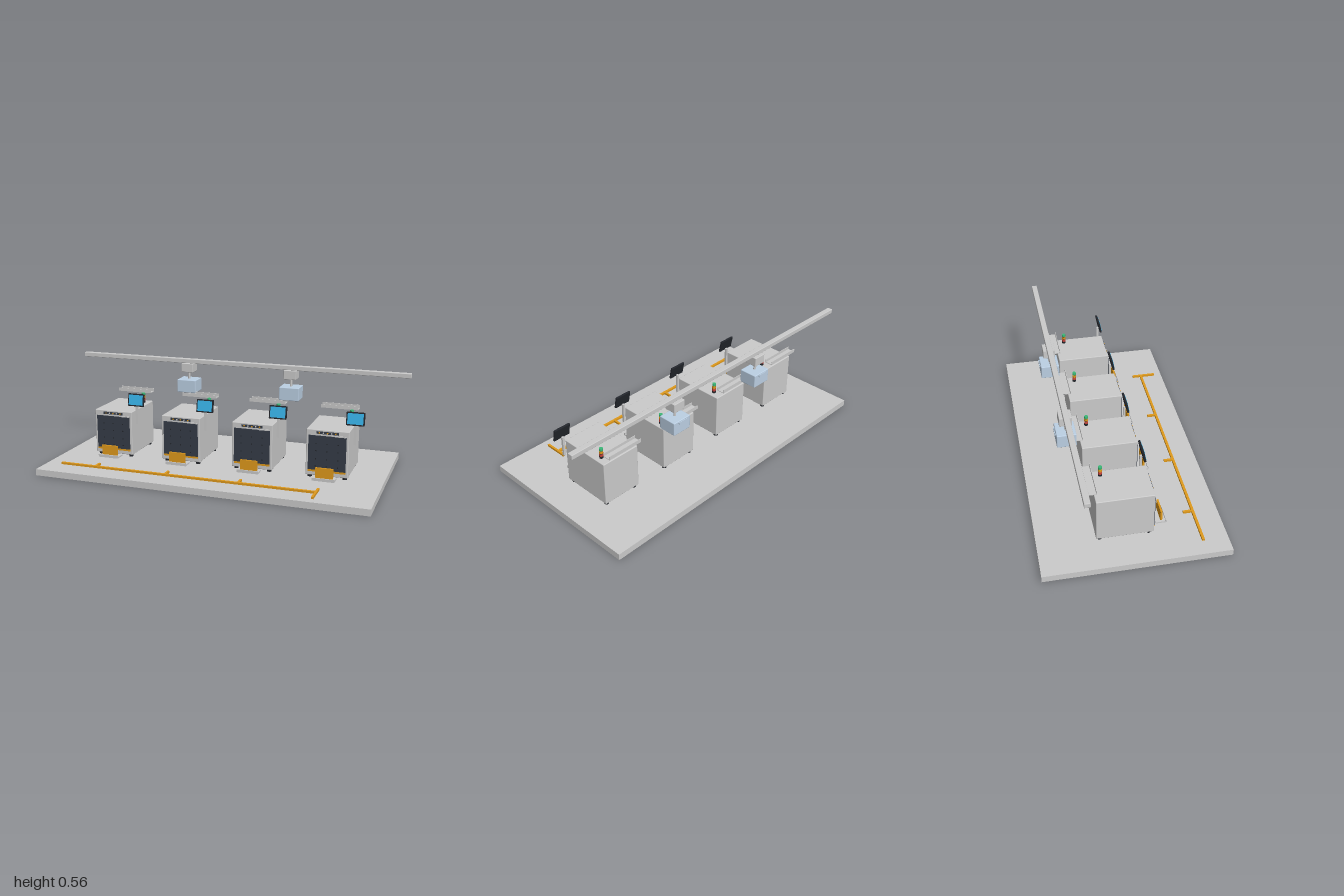
import * as THREE from 'three';
import { RoundedBoxGeometry } from 'three/addons/geometries/RoundedBoxGeometry.js';

const mat = (color) => new THREE.MeshStandardMaterial({ color });
const grey = mat(0xcccccc);
const dark = mat(0x353c48);
const black = mat(0x23262c);
const orange = mat(0xe09a1c);
const red = mat(0xc8453c);
const green = mat(0x3cb878);
const blue = mat(0x38b0e4);
const paleBlue = mat(0xbcd0e4);

// Box given by its extents on each axis; r > 0 rounds the edges.
function box(parent, name, [x0, x1], [y0, y1], [z0, z1], material, r = 0) {
  const size = [x1 - x0, y1 - y0, z1 - z0];
  const geo = r ? new RoundedBoxGeometry(...size, 2, r) : new THREE.BoxGeometry(...size);
  const mesh = new THREE.Mesh(geo, material);
  mesh.name = name;
  mesh.position.set((x0 + x1) / 2, (y0 + y1) / 2, (z0 + z1) / 2);
  parent.add(mesh);
  return mesh;
}

// Upright cylinder standing between two heights.
function post(parent, name, x, z, y0, y1, radius, material) {
  const mesh = new THREE.Mesh(new THREE.CylinderGeometry(radius, radius, y1 - y0, 20), material);
  mesh.name = name;
  mesh.position.set(x, (y0 + y1) / 2, z);
  parent.add(mesh);
  return mesh;
}

function createMachine() {
  const g = new THREE.Group();
  g.name = 'machine';
  box(g, 'cabinet', [-0.115, 0.115], [0.05, 0.305], [-0.183, 0.118], grey, 0.004);
  for (const x of [-0.095, 0.095]) {
    for (const z of [-0.163, 0.094]) post(g, 'foot', x, z, 0.036, 0.051, 0.012, black);
  }

  // Front door with its fasteners, handle and lower trim
  box(g, 'door', [-0.102, 0.102], [0.083, 0.273], [0.117, 0.123], dark);
  for (const x of [-0.06, 0, 0.06]) {
    for (const y of [0.105, 0.145, 0.19, 0.23]) {
      box(g, 'doorFastener', [x - 0.003, x + 0.003], [y - 0.003, y + 0.003], [0.122, 0.125], black);
    }
  }
  box(g, 'doorHandle', [0.04, 0.1], [0.273, 0.279], [0.117, 0.124], grey);
  box(g, 'lowerTrim', [-0.102, 0.102], [0.072, 0.083], [0.117, 0.122], orange);

  // Control strip
  box(g, 'controlStrip', [-0.06, 0.06], [0.283, 0.296], [0.117, 0.121], dark);
  for (let i = 0; i < 5; i++) {
    const button = post(g, 'button', -0.044 + i * 0.022, 0.122, 0.2875, 0.2915, 0.004, i % 2 ? grey : orange);
    button.rotation.x = Math.PI / 2;
  }

  // Output tray with upright flap
  box(g, 'outputTray', [-0.06, 0.06], [0.047, 0.055], [0.14, 0.2], grey);
  box(g, 'trayLip', [-0.06, 0.06], [0.055, 0.063], [0.194, 0.201], grey);
  box(g, 'trayFlap', [-0.048, 0.048], [0.055, 0.113], [0.168, 0.178], orange);

  // Stack light
  post(g, 'lightBase', 0.08, -0.127, 0.305, 0.316, 0.011, black);
  post(g, 'lightCore', 0.08, -0.127, 0.315, 0.36, 0.008, black);
  [red, orange, green].forEach((m, i) => {
    post(g, 'signalLight', 0.08, -0.127, 0.317 + i * 0.017, 0.33 + i * 0.017, 0.0105, m);
  });

  // Tilted touch screen on a pole
  box(g, 'screenPole', [0.136, 0.149], [0.235, 0.35], [0.092, 0.105], grey);
  const screen = new THREE.Group();
  screen.name = 'touchScreen';
  box(screen, 'screenHousing', [-0.049, 0.049], [-0.036, 0.036], [-0.006, 0.006], black, 0.003);
  box(screen, 'screenFace', [-0.042, 0.042], [-0.029, 0.029], [0.005, 0.008], blue);
  screen.position.set(0.142, 0.377, 0.105);
  screen.rotation.x = -0.2;
  g.add(screen);

  // Open channel behind the cabinet
  const channel = new THREE.Group();
  channel.name = 'feedChannel';
  box(channel, 'channelFloor', [-0.106, 0.106], [0.352, 0.355], [-0.22, -0.175], grey);
  box(channel, 'channelFrontLip', [-0.106, 0.106], [0.352, 0.371], [-0.178, -0.175], grey);
  box(channel, 'channelBackLip', [-0.106, 0.106], [0.352, 0.373], [-0.221, -0.218], grey);
  g.add(channel);
  return g;
}

// Trolley hanging from the overhead rail
function createCarrier() {
  const g = new THREE.Group();
  g.name = 'railCarrier';
  box(g, 'trolley', [-0.037, 0.037], [0.484, 0.536], [-0.301, -0.233], grey, 0.003);
  post(g, 'hanger', 0, -0.266, 0.438, 0.486, 0.007, grey);
  box(g, 'container', [-0.058, 0.058], [0.364, 0.44], [-0.319, -0.215], paleBlue, 0.004);
  // Handle at the back
  box(g, 'handleGrip', [-0.028, 0.028], [0.424, 0.436], [-0.326, -0.322], paleBlue);
  for (const x of [-0.025, 0.025]) {
    box(g, 'handleMount', [x - 0.003, x + 0.003], [0.426, 0.434], [-0.323, -0.318], paleBlue);
  }
  return g;
}

export function createModel() {
  const model = new THREE.Group();
  model.name = 'productionLine';
  box(model, 'floorSlab', [-0.928, 0.928], [0, 0.036], [-0.488, 0.488], grey);
  box(model, 'overheadRail', [-1, 1], [0.535, 0.561], [-0.281, -0.25], grey, 0.003);

  const stations = [-0.628, -0.21, 0.208, 0.626];
  stations.forEach((x, i) => {
    const machine = createMachine();
    machine.position.x = x;
    model.add(machine);
    // Floor branch toward each station; the last one closes the line
    const last = i === stations.length - 1;
    box(model, 'floorBranch', [x - 0.006, x + 0.006], [0.036, 0.048], [0.303, last ? 0.442 : 0.352], orange);
  });
  box(model, 'floorLine', [-0.84, 0.626], [0.036, 0.0475], [0.348, 0.362], orange);

  for (const x of [-0.308, 0.322]) {
    const carrier = createCarrier();
    carrier.position.x = x;
    model.add(carrier);
  }
  return model;
}
